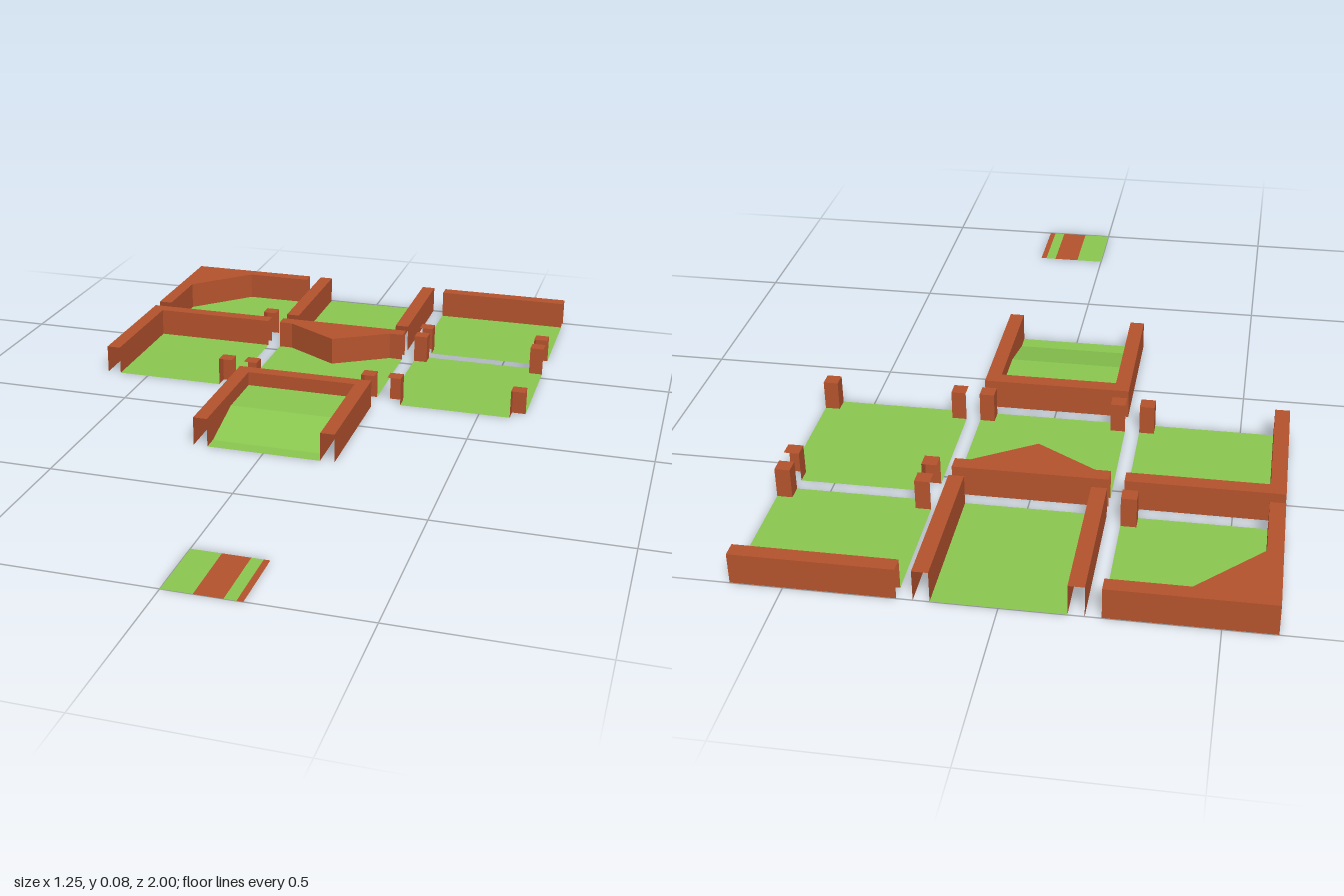
import * as THREE from 'three';
import { mergeGeometries } from 'three/addons/utils/BufferGeometryUtils.js';

const H = 0.196;      // half of a tile
const I = 0.157;      // inner edge of the walls
const WALL = 0.08;    // wall height
const RISE = 0.04;    // height of the raised floor

const brick = new THREE.MeshStandardMaterial({ color: 0xb5532d, side: THREE.DoubleSide });
brick.name = 'brick red';
const grass = new THREE.MeshStandardMaterial({ color: 0x8bc850, side: THREE.DoubleSide });
grass.name = 'grass green';

// Flat polygon from [x, z] points, facing up
function flat(points, y = 0) {
  const shape = new THREE.Shape(points.map(([x, z]) => new THREE.Vector2(x, -z)));
  return new THREE.ShapeGeometry(shape).rotateX(-Math.PI / 2).translate(0, y, 0).toNonIndexed();
}

// Quad from four corners in counter-clockwise order
function quad(a, b, c, d) {
  const g = new THREE.BufferGeometry();
  g.setAttribute('position', new THREE.Float32BufferAttribute([a, b, c, a, c, d].flat(), 3));
  g.setAttribute('uv', new THREE.Float32BufferAttribute(new Array(12).fill(0), 2));
  g.computeVertexNormals();
  return g;
}

// Short edges on the tile border stay open, so neighbouring tiles join up
function isOpen(a, b) {
  const onBorder = [0, 1].some((k) => Math.abs(a[k]) === H && a[k] === b[k]);
  return onBorder && Math.hypot(a[0] - b[0], a[1] - b[1]) < 0.05;
}

// Hollow wall: top plus upright sides, no underside
function wallGeometry(points) {
  const flipped = THREE.ShapeUtils.isClockWise(points.map(([x, z]) => new THREE.Vector2(x, -z)));
  const p = flipped ? [...points].reverse() : points;
  const parts = [flat(p, WALL)];
  p.forEach((a, i) => {
    const b = p[(i + 1) % p.length];
    if (isOpen(a, b)) return;
    parts.push(quad([a[0], 0, a[1]], [b[0], 0, b[1]], [b[0], WALL, b[1]], [a[0], WALL, a[1]]));
  });
  return mergeGeometries(parts);
}

function add(group, name, geometry, material) {
  const mesh = new THREE.Mesh(geometry, material);
  mesh.name = name;
  group.add(mesh);
}

// Corner post; sx and sz choose the corner
const post = (sx, sz) => [[sx * I, sz * I], [sx * H, sz * I], [sx * H, sz * H], [sx * I, sz * H]];
// Floor outline going round the post in one corner
const notch = (sx, sz) => {
  const n = [[sx * H, sz * I], [sx * I, sz * I], [sx * I, sz * H]];
  return sx * sz > 0 ? n : n.reverse();
};
// Side wall running along z
const sideWall = (s) => [[s * I, -H], [s * H, -H], [s * H, H], [s * I, H]];

const C = 0.035;      // where the chamfer meets the inner wall edges
const tiles = [
  { name: 'chamferedCornerTile', at: [-0.43, -0.803],
    walls: [[[-H, -H], [H, -H], [H, -I], [0, -I], [-I, 0], [-I, H], [-H, H]], post(1, 1)],
    floor: [[0, -I], [H, -I], ...notch(1, 1), [-I, H], [-I, 0]] },
  { name: 'straightTile', at: [0, -0.803],
    walls: [sideWall(-1), sideWall(1)],
    floor: [[-I, -H], [I, -H], [I, H], [-I, H]] },
  { name: 'junctionTile', at: [0.43, -0.803],
    walls: [[[-H, -H], [H, -H], [H, -I], [-H, -I]], post(1, 1), post(-1, 1)],
    floor: [[-H, -I], [H, -I], ...notch(1, 1), ...notch(-1, 1)] },
  { name: 'cornerTile', at: [-0.43, -0.374],
    walls: [[[-H, -H], [H, -H], [H, -I], [-I, -I], [-I, H], [-H, H]], post(1, 1)],
    floor: [[-I, -I], [H, -I], ...notch(1, 1), [-I, H]] },
  { name: 'wedgeJunctionTile', at: [0, -0.374],
    walls: [[[-H, -H], [H, -H], [H, -I], [I, -I], [0, -0.06], [-I, -I], [-H, -I]],
      post(1, 1), post(-1, 1)],
    floor: [[-H, -I], [-I, -I], [0, -0.06], [I, -I], [H, -I], ...notch(1, 1), ...notch(-1, 1)] },
  { name: 'crossingTile', at: [0.43, -0.374],
    walls: [post(1, 1), post(-1, 1), post(-1, -1), post(1, -1)],
    floor: [...notch(1, 1), ...notch(-1, 1), ...notch(-1, -1), ...notch(1, -1)] },
  { name: 'rampTile', at: [0, 0.054],
    walls: [[[-H, -H], [H, -H], [H, H], [I, H], [I, -I], [-I, -I], [-I, H], [-H, H]]] },
];

// Raised floor, slope and level landing
function rampFloor() {
  const profile = [[-I, RISE], [0, RISE], [I - 0.005, 0], [H, 0]];
  const strips = [];
  for (let i = 0; i < profile.length - 1; i++) {
    const [z0, y0] = profile[i];
    const [z1, y1] = profile[i + 1];
    strips.push(quad([-I, y1, z1], [I, y1, z1], [I, y0, z0], [-I, y0, z0]));
  }
  return mergeGeometries(strips);
}

export function createModel() {
  const model = new THREE.Group();
  model.name = 'pathTileSet';

  for (const { name, at, walls, floor } of tiles) {
    const tile = new THREE.Group();
    tile.name = name;
    tile.position.set(at[0], 0, at[1]);
    walls.forEach((w, i) => add(tile, w.length === 4 && name !== 'straightTile' && i > 0
      ? 'cornerPost' : 'wall', wallGeometry(w), brick));
    add(tile, 'floor', floor ? flat(floor) : rampFloor(), grass);
    model.add(tile);
  }

  // Flat colour sample swatch in front of the tiles
  const swatch = new THREE.Group();
  swatch.name = 'colourSwatch';
  const edges = [0, 0.078, 0.15, 0.18, H];
  for (let i = 0; i < 4; i++) {
    const [a, b] = [edges[i], edges[i + 1]];
    add(swatch, 'swatchStrip', flat([[a, 0.804], [b, 0.804], [b, 1], [a, 1]]), i % 2 ? brick : grass);
  }
  model.add(swatch);
  return model;
}
